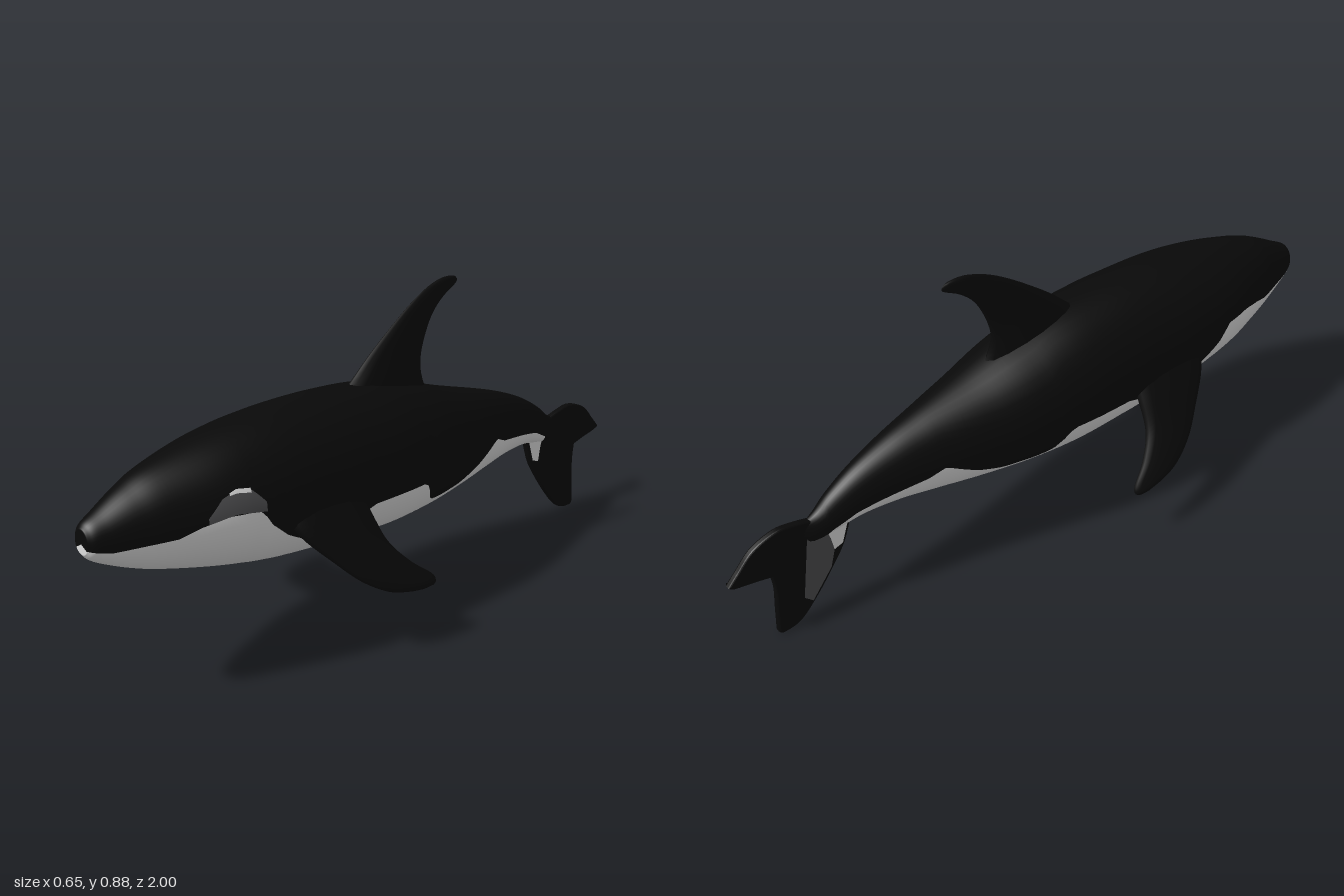
import * as THREE from 'three';

const flat = (name, color) => {
  const m = new THREE.MeshStandardMaterial({ color, side: THREE.DoubleSide });
  m.name = name;
  return m;
};
const BLACK = 0, WHITE = 1, GREY = 2, NAVY = 3;

// Skin a list of closed rings, cap both ends and sort the faces by material
function loft(rings, matOf) {
  const n = rings[0].length, last = rings.length - 1;
  const verts = rings.flat();
  const middle = ring => ring.reduce((s, p) => s.add(p), new THREE.Vector3()).divideScalar(n);
  const c0 = verts.push(middle(rings[0])) - 1, c1 = verts.push(middle(rings[last])) - 1;
  const faces = [];
  const add = (m, a, b, c) => faces.push([m, a, b, c]);
  for (let j = 0; j < n; j++) {
    const k = (j + 1) % n;
    for (let i = 0; i < last; i++) {
      const m = matOf(i, j), a = i * n + j, b = i * n + k, c = a + n, d = b + n;
      add(m, a, b, d);
      add(m, a, d, c);
    }
    add(matOf(0, j), c0, k, j);
    add(matOf(last - 1, j), c1, last * n + j, last * n + k);
  }
  // Turn the faces outward when the enclosed volume comes out negative
  const cross = new THREE.Vector3();
  const volume = faces.reduce((s, [, a, b, c]) => s + verts[a].dot(cross.crossVectors(verts[b], verts[c])), 0);
  const geo = new THREE.BufferGeometry().setFromPoints(verts);
  const index = [];
  for (let m = BLACK; m <= NAVY; m++) {
    const start = index.length;
    for (const [fm, a, b, c] of faces) if (fm === m) index.push(a, ...(volume < 0 ? [c, b] : [b, c]));
    if (index.length > start) geo.addGroup(start, index.length - start, m);
  }
  geo.setIndex(index);
  geo.computeVertexNormals();
  return geo;
}

// Smoothly resample rows of five numbers
function resample(rows, steps) {
  const a = new THREE.CatmullRomCurve3(rows.map(r => new THREE.Vector3(r[0], r[1], r[2])), false, 'catmullrom', 0.5);
  const b = new THREE.CatmullRomCurve3(rows.map(r => new THREE.Vector3(r[3], r[4] ?? 0, 0)), false, 'catmullrom', 0.5);
  return Array.from({ length: steps + 1 }, (_, i) => {
    const p = a.getPoint(i / steps), q = b.getPoint(i / steps);
    return [p.x, p.y, p.z, q.x, q.y];
  });
}

// Piecewise linear lookup along descending z
function lookup(table, z) {
  for (let i = 1; i < table.length; i++) {
    const [z0, y0] = table[i - 1], [z1, y1] = table[i];
    if (z >= z1) return y0 + (y1 - y0) * THREE.MathUtils.clamp((z0 - z) / (z0 - z1), 0, 1);
  }
  return table[table.length - 1][1];
}

// Body sections: z, top, bottom, half width
const SECTIONS = resample([
  [1, 0.495, 0.43, 0.025], [0.985, 0.51, 0.413, 0.042], [0.95, 0.528, 0.392, 0.058], [0.88, 0.565, 0.36, 0.085],
  [0.8, 0.597, 0.332, 0.115], [0.65, 0.63, 0.293, 0.162], [0.5, 0.65, 0.262, 0.182], [0.35, 0.656, 0.244, 0.188],
  [0.2, 0.652, 0.232, 0.19], [0.05, 0.637, 0.225, 0.187], [-0.1, 0.602, 0.231, 0.169], [-0.25, 0.555, 0.245, 0.134],
  [-0.4, 0.512, 0.266, 0.097], [-0.5, 0.48, 0.28, 0.075], [-0.6, 0.438, 0.283, 0.055], [-0.68, 0.39, 0.27, 0.04],
  [-0.73, 0.35, 0.262, 0.027], [-0.77, 0.332, 0.262, 0.012], [-0.8, 0.32, 0.27, 0.005]], 144);

// Height of the line between dark back and pale belly
const BELLY_LINE = [[1, 0.445], [0.95, 0.435], [0.8, 0.442], [0.75, 0.46], [0.68, 0.475], [0.585, 0.47], [0.565, 0.43],
  [0.5, 0.375], [0.4, 0.32], [0.33, 0.32], [0.24, 0.36], [0.2, 0.375], [0, 0.375], [-0.025, 0.34], [-0.05, 0.3],
  [-0.1, 0.295], [-0.2, 0.3], [-0.28, 0.33], [-0.38, 0.385], [-0.43, 0.363], [-0.55, 0.342], [-0.63, 0.325],
  [-0.7, 0.29], [-0.715, 0.25], [-0.8, 0.2]];

const angleAt = ([, top, bottom], y) =>
  Math.acos(THREE.MathUtils.clamp((2 * y - top - bottom) / (top - bottom), -0.995, 0.95));
const skinPoint = ([z, top, bottom, w], t, lift = 0) => new THREE.Vector3(
  (w + lift) * Math.sin(t), (top + bottom) / 2 + ((top - bottom) / 2 + lift) * Math.cos(t), z);

function bodyGeometry() {
  const N = 12, M = 10;
  const rings = SECTIONS.map(s => {
    const edge = angleAt(s, lookup(BELLY_LINE, s[0]));
    const half = [];
    for (let i = 0; i < N; i++) half.push(edge * i / N);
    for (let i = 0; i <= M; i++) half.push(edge + (Math.PI - edge) * i / M);
    const other = half.slice(1, -1).reverse().map(t => -t);
    return [...half, ...other].map(t => skinPoint(s, t));
  });
  return loft(rings, (i, j) => (j < N || j >= N + 2 * M ? BLACK : WHITE));
}

// Thin marking that follows the skin on the left side between two height lines
function skinPatch(low, high, lift) {
  const rows = SECTIONS.filter(s => s[0] <= low[0][0] && s[0] >= low[low.length - 1][0]);
  const K = 6, pts = [], index = [];
  rows.forEach((s, i) => {
    const a = angleAt(s, lookup(low, s[0])), b = angleAt(s, lookup(high, s[0]));
    for (let k = 0; k <= K; k++) pts.push(skinPoint(s, a + (b - a) * k / K, lift));
    if (i) for (let k = 0; k < K; k++) {
      const p = (i - 1) * (K + 1) + k, q = p + K + 1;
      index.push(p, p + 1, q, p + 1, q + 1, q);
    }
  });
  const geo = new THREE.BufferGeometry().setFromPoints(pts).setIndex(index);
  geo.computeVertexNormals();
  if (geo.attributes.normal.getX(0) < 0) {
    geo.setIndex(index.reverse());
    geo.computeVertexNormals();
  }
  return geo;
}

const RING = 16;
const ringAngles = Array.from({ length: RING }, (_, j) => j / RING * Math.PI * 2);

// Dorsal fin sections: y, front z, back z, half thickness
function dorsalGeometry() {
  const rows = resample([[0.53, 0.2, -0.2, 0.05], [0.59, 0.19, -0.165, 0.042], [0.65, 0.118, -0.15, 0.033],
    [0.71, 0.05, -0.163, 0.023], [0.78, -0.043, -0.198, 0.015], [0.825, -0.11, -0.245, 0.012],
    [0.855, -0.165, -0.298, 0.01], [0.872, -0.212, -0.295, 0.008], [0.878, -0.24, -0.275, 0.003]], 32);
  return loft(rows.map(([y, f, b, h]) => ringAngles.map(a =>
    new THREE.Vector3(h * Math.sin(a), y, (f + b) / 2 + (f - b) / 2 * Math.cos(a)))), () => BLACK);
}

// Flipper sections: x, y, leading z, trailing z, half thickness
function flipperGeometry(side) {
  const steps = 36;
  const rows = resample([[0.14, 0.43, 0.5, 0.23, 0.035], [0.185, 0.365, 0.475, 0.228, 0.028],
    [0.235, 0.29, 0.41, 0.215, 0.02], [0.275, 0.23, 0.35, 0.17, 0.017], [0.303, 0.187, 0.28, 0.118, 0.014],
    [0.314, 0.168, 0.215, 0.112, 0.012], [0.319, 0.16, 0.165, 0.125, 0.006]], steps);
  const rings = rows.map(([x, y, f, b, h]) => ringAngles.map(a => new THREE.Vector3(
    side * (x + 0.83 * h * Math.sin(a)), y + 0.55 * h * Math.sin(a), (f + b) / 2 + (f - b) / 2 * Math.cos(a))));
  return loft(rings, (i, j) => {
    const t = i / steps;
    if (j < RING / 2) return BLACK;
    if (j >= RING * 0.75) return t < 0.45 ? BLACK : t < 0.62 ? (side > 0 ? NAVY : GREY) : WHITE;
    return t < 0.4 ? WHITE : t < 0.5 ? GREY : t < 0.68 ? NAVY : BLACK;
  });
}

const points = list => list.map(([z, y]) => new THREE.Vector2(z, y));

// Upright tail fin with two lobes
function tailGeometry() {
  const shape = new THREE.Shape();
  shape.moveTo(-0.66, 0.36);
  shape.lineTo(-0.74, 0.335);
  shape.splineThru(points([[-0.79, 0.348], [-0.85, 0.355], [-0.92, 0.33], [-0.97, 0.28], [-1, 0.247]]));
  shape.splineThru(points([[-0.985, 0.236], [-0.93, 0.225], [-0.878, 0.213]]));
  shape.splineThru(points([[-0.872, 0.16], [-0.876, 0.09], [-0.88, 0.012]]));
  shape.splineThru(points([[-0.865, 0.002], [-0.81, 0.014], [-0.75, 0.075], [-0.69, 0.155], [-0.655, 0.212], [-0.63, 0.285]]));
  const bevel = 0.006;
  const geo = new THREE.ExtrudeGeometry(shape, { depth: 0.01, bevelThickness: bevel, bevelSize: bevel,
    bevelOffset: -bevel, bevelSegments: 3, curveSegments: 16 });
  return geo.translate(0, 0, -0.005).rotateY(-Math.PI / 2);
}

const tailPlate = (outline, x) =>
  new THREE.ShapeGeometry(new THREE.Shape(points(outline))).rotateY(-Math.PI / 2).translate(x, 0, 0);

export function createModel() {
  const model = new THREE.Group();
  model.name = 'whale';
  const mats = [flat('black skin', 0x090909), flat('white belly', 0xe6e6e6),
    flat('grey marking', 0x505052), flat('navy marking', 0x22225a)];
  const add = (name, geo, material) => {
    const mesh = new THREE.Mesh(geo, material);
    mesh.name = name;
    model.add(mesh);
  };
  add('body', bodyGeometry(), mats);
  add('dorsalFin', dorsalGeometry(), mats);
  add('leftFlipper', flipperGeometry(1), mats);
  add('rightFlipper', flipperGeometry(-1), mats);
  add('tailFin', tailGeometry(), mats[BLACK]);

  // Marking behind the left eye
  add('eyePatch', skinPatch([[0.73, 0.465], [0.66, 0.478], [0.57, 0.465]],
    [[0.73, 0.48], [0.69, 0.52], [0.65, 0.535], [0.61, 0.53], [0.57, 0.485]], 0.002), mats[GREY]);
  add('eyePatchRim', skinPatch([[0.68, 0.523], [0.65, 0.527], [0.61, 0.521]],
    [[0.68, 0.527], [0.65, 0.537], [0.61, 0.532]], 0.004), mats[WHITE]);

  // Pale patches at the tail root
  const root = [[-0.64, 0.285], [-0.663, 0.214], [-0.69, 0.205], [-0.698, 0.25], [-0.712, 0.295]];
  for (const side of [1, -1]) add('tailRootPatch', tailPlate(root, side * 0.0118), mats[WHITE]);
  add('tailGreyPatch', tailPlate([[-0.712, 0.295], [-0.698, 0.25], [-0.69, 0.205], [-0.705, 0.15],
    [-0.77, 0.065], [-0.795, 0.09], [-0.765, 0.3]], -0.0122), mats[GREY]);
  return model;
}
